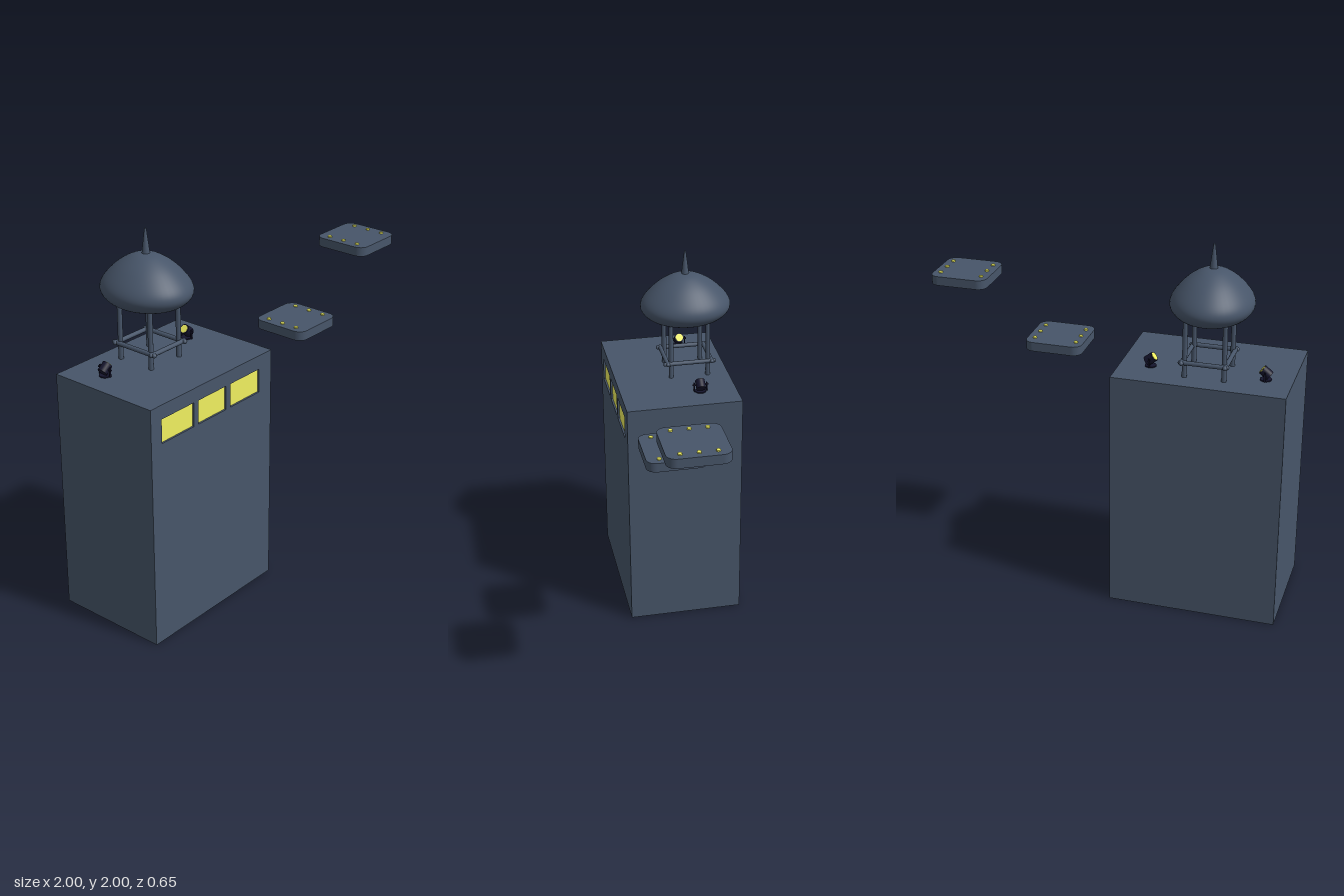
import * as THREE from 'three';

const slate = new THREE.MeshStandardMaterial({ color: 0x475569 });
const yellow = new THREE.MeshStandardMaterial({ color: 0xf0f060 });
const dark = new THREE.MeshStandardMaterial({ color: 0x14142c });

function add(parent, name, geometry, material, x = 0, y = 0, z = 0) {
  const mesh = new THREE.Mesh(geometry, material);
  mesh.name = name;
  mesh.position.set(x, y, z);
  parent.add(mesh);
  return mesh;
}

function group(parent, name, x = 0, y = 0, z = 0) {
  const g = new THREE.Group();
  g.name = name;
  g.position.set(x, y, z);
  parent.add(g);
  return g;
}

function rectangle(Type, x0, y0, x1, y1) {
  return new Type([[x0, y0], [x1, y0], [x1, y1], [x0, y1]].map(p => new THREE.Vector2(...p)));
}

// Rounded slab with two rows of studs, top at y = 0
function addPlatform(parent, x, y, z) {
  const g = group(parent, 'platform', x, y, z);
  const h = 0.156, r = 0.05, thick = 0.05;
  const s = new THREE.Shape();
  s.absarc(h - r, h - r, r, 0, Math.PI / 2);
  s.absarc(r - h, h - r, r, Math.PI / 2, Math.PI);
  s.absarc(r - h, r - h, r, Math.PI, Math.PI * 1.5);
  s.absarc(h - r, r - h, r, Math.PI * 1.5, Math.PI * 2);
  const slab = new THREE.ExtrudeGeometry(s, { depth: thick, bevelEnabled: false, curveSegments: 8 });
  slab.rotateX(-Math.PI / 2);
  add(g, 'slab', slab, slate, 0, -thick, 0);
  for (const sx of [-0.115, 0.115])
    for (const sz of [-0.09, 0, 0.09])
      add(g, 'stud', new THREE.CylinderGeometry(0.011, 0.011, 0.014, 16), yellow, sx, 0, sz);
}

// Spotlight on a bracket, aimed up and inwards (side = -1 or 1)
function addSpotlight(parent, x, y, z, side) {
  const g = group(parent, 'spotlight', x, y, z);
  add(g, 'base', new THREE.CylinderGeometry(0.03, 0.03, 0.006, 20), dark, 0, 0.003, 0);
  for (const s of [-1, 1])
    add(g, 'bracketArm', new THREE.BoxGeometry(0.01, 0.05, 0.005), dark, 0, 0.027, s * 0.034);
  const axle = add(g, 'axle', new THREE.CylinderGeometry(0.005, 0.005, 0.085, 10), dark, 0, 0.04, 0);
  axle.rotation.x = Math.PI / 2;
  const head = group(g, 'head', 0, 0.04, 0);
  head.rotation.z = side * 0.9;
  add(head, 'housing', new THREE.CylinderGeometry(0.026, 0.026, 0.05, 24), dark);
  add(head, 'lens', new THREE.CylinderGeometry(0.021, 0.021, 0.003, 24), yellow, 0, 0.0255, 0);
}

export function createModel() {
  const model = new THREE.Group();
  model.name = 'rooftopScene';

  // Building block with shallow window recesses in the front
  const building = group(model, 'building');
  const roof = 1.315, front = 0.325, back = -0.3, recess = 0.012;
  const depth = front - recess - back;
  add(building, 'block', new THREE.BoxGeometry(0.9, roof, depth), slate,
    -0.55, roof / 2, back + depth / 2);
  const wall = rectangle(THREE.Shape, -1, 0, -0.1, roof);
  for (const [x0, x1] of [[-0.925, -0.695], [-0.663, -0.455], [-0.422, -0.195]]) {
    wall.holes.push(rectangle(THREE.Path, x0, 1.112, x1, 1.24));
    add(building, 'window', new THREE.PlaneGeometry(x1 - x0, 0.128), yellow,
      (x0 + x1) / 2, 1.176, front - recess + 0.002);
  }
  add(building, 'frontWall', new THREE.ExtrudeGeometry(wall, { depth: recess, bevelEnabled: false }),
    slate, 0, 0, front - recess);

  // Tower: four posts, a ring of rails, an oval dome and a spire
  const tower = group(model, 'tower', -0.57, 0, -0.083);
  const half = 0.102;
  for (const sx of [-1, 1])
    for (const sz of [-1, 1])
      add(tower, 'post', new THREE.CylinderGeometry(0.013, 0.013, 0.34, 16), slate,
        sx * half + 0.01, 1.48, sz * half);
  for (const s of [-1, 1]) {
    const railX = add(tower, 'railAcross', new THREE.CapsuleGeometry(0.012, 0.24, 4, 12), slate,
      0.01, 1.4, s * (half + 0.02));
    railX.rotation.z = Math.PI / 2;
    const railZ = add(tower, 'railAlong', new THREE.CapsuleGeometry(0.012, 0.27, 4, 12), slate,
      0.01 + s * (half + 0.01), 1.4, 0);
    railZ.rotation.x = Math.PI / 2;
  }
  const outline = new THREE.SplineCurve([
    [0, 1.605], [0.08, 1.608], [0.155, 1.622], [0.2, 1.658], [0.213, 1.7],
    [0.19, 1.752], [0.13, 1.818], [0.06, 1.864], [0, 1.877],
  ].map(p => new THREE.Vector2(...p))).getPoints(40);
  outline[0].x = outline[40].x = 0;
  const dome = add(tower, 'dome', new THREE.LatheGeometry(outline, 48), slate);
  dome.scale.z = 1.155;
  add(tower, 'spire', new THREE.CylinderGeometry(0.005, 0.022, 0.14, 24), slate, 0, 1.93, 0);

  addSpotlight(model, -0.86, roof, -0.103, -1);
  addSpotlight(model, -0.26, roof, -0.103, 1);

  addPlatform(model, 0.315, 1.315, 0.163);
  addPlatform(model, 0.842, 1.63, 0.163);

  return model;
}
